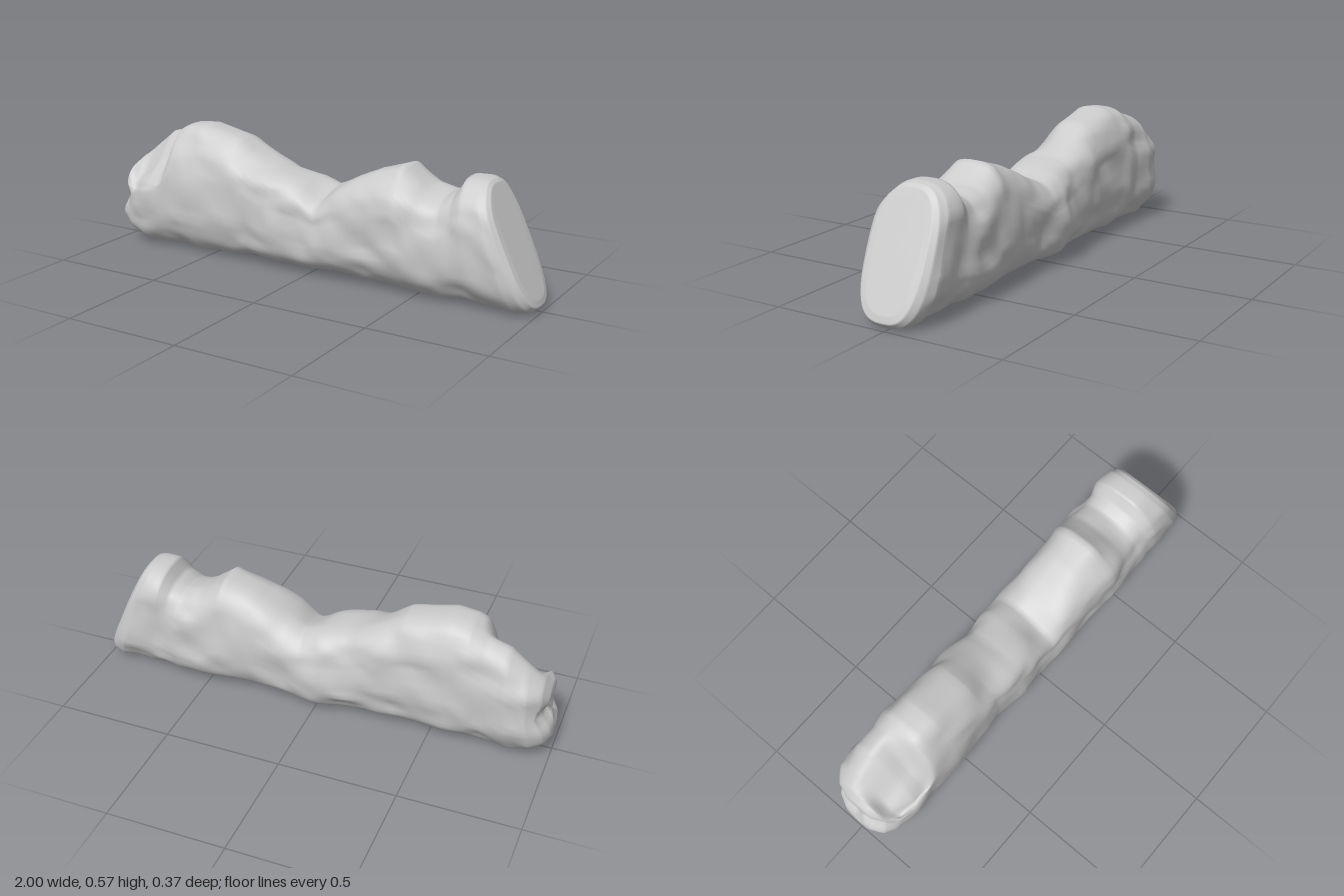
import * as THREE from 'three';

const SIDES = 56, STEPS = 138;

// Stations: x at foot, x at crest, bottom y, top y, front depth, back depth
const stations = [
  [-1.015, -0.955, 0.14, 0.27, 0.025, 0.03],
  [-1.01, -0.95, 0.09, 0.33, 0.06, 0.08],
  [-0.985, -0.93, 0.06, 0.38, 0.11, 0.13],
  [-0.93, -0.875, 0.03, 0.435, 0.145, 0.165],
  [-0.84, -0.80, 0.005, 0.50, 0.165, 0.175],
  [-0.72, -0.71, 0.015, 0.525, 0.157, 0.16],
  [-0.64, -0.64, 0.02, 0.56, 0.16, 0.165],
  [-0.55, -0.55, 0.01, 0.567, 0.162, 0.16],
  [-0.37, -0.37, 0.015, 0.53, 0.152, 0.15],
  [-0.29, -0.29, 0.02, 0.49, 0.142, 0.155],
  [-0.15, -0.15, 0.025, 0.415, 0.168, 0.163],
  [-0.03, -0.03, 0.02, 0.395, 0.152, 0.184],
  [0.06, 0.06, 0.025, 0.37, 0.158, 0.18],
  [0.15, 0.15, 0.025, 0.41, 0.162, 0.17],
  [0.29, 0.29, 0.02, 0.48, 0.16, 0.158],
  [0.42, 0.42, 0.02, 0.515, 0.175, 0.17],
  [0.53, 0.52, 0.01, 0.45, 0.17, 0.172],
  [0.63, 0.60, 0.01, 0.43, 0.162, 0.17],
  [0.71, 0.65, 0.02, 0.45, 0.162, 0.163],
  [0.78, 0.69, 0.01, 0.503, 0.168, 0.162],
  [0.93, 0.755, 0.003, 0.507, 0.17, 0.162],
  [0.985, 0.78, 0.01, 0.502, 0.157, 0.145],
  [1.015, 0.79, 0.03, 0.49, 0.137, 0.12],
  [1.022, 0.79, 0.06, 0.465, 0.11, 0.09],
];

const smooth = (a, b, v) => THREE.MathUtils.smoothstep(v, a, b);
const bump = (v, centre, width) => Math.exp(-(((v - centre) / width) ** 2));

// Seeded smooth value noise on a 3D lattice
function hash(i, j, k) {
  const s = Math.sin(i * 127.1 + j * 311.7 + k * 74.7) * 43758.5453;
  return (s - Math.floor(s)) * 2 - 1;
}
function noise(x, y, z) {
  const i = Math.floor(x), j = Math.floor(y), k = Math.floor(z);
  const f = [x - i, y - j, z - k].map((t) => t * t * (3 - 2 * t));
  let sum = 0;
  for (let c = 0; c < 8; c++) {
    const a = c & 1, b = (c >> 1) & 1, d = c >> 2;
    sum += hash(i + a, j + b, k + d) *
      (a ? f[0] : 1 - f[0]) * (b ? f[1] : 1 - f[1]) * (d ? f[2] : 1 - f[2]);
  }
  return sum;
}

// Cross-section values at t (0..1) along the wall
function stationAt(t) {
  const s = t * (stations.length - 1);
  const i = Math.min(Math.floor(s), stations.length - 2);
  return stations[i].map((v, c) => THREE.MathUtils.lerp(v, stations[i + 1][c], s - i));
}

// One point of the rock skin
function skinPoint(t, angle) {
  const [footX, crestX, bottom, top, front, back] = stationAt(t);
  const round = (v) => Math.sign(v) * Math.abs(v) ** 0.7;
  const c = round(Math.cos(angle)), s = round(Math.sin(angle));
  let y = (bottom + top) / 2 + (s * (top - bottom)) / 2;
  let x = THREE.MathUtils.lerp(footX, crestX, y / 0.5);
  let z = c * (c > 0 ? front : back);

  // Front leans back towards the crest
  if (c > 0) z *= 1 - 0.3 * smooth(0.38, 0.55, y);

  // Weathered strata: long flat lumps, fading out on the clean sloping end
  const rough = 1 - smooth(0.84, 0.92, t);
  const lump = 0.015 * noise(x * 7, y * 15, z * 4 + 9) + 0.006 * noise(x * 14, y * 24, z * 6);
  z += c * lump * rough;
  y += s * lump * 0.25 * rough;

  // Stepped-down front corner at one end, and smaller hollows along the crest
  const lean = smooth(-0.07, 0.08, z) * smooth(0, 0.7, s);
  const corner = smooth(-0.98, -0.88, x) * (1 - smooth(-0.74, -0.67, x));
  y -= lean * (0.12 * corner + 0.02 * bump(x, -0.26, 0.08) +
    0.035 * bump(x, 0.05, 0.07) + 0.02 * bump(x, 0.57, 0.06));
  // Crease across the bulging end
  x += 0.035 * bump(y, 0.225, 0.04) * (1 - smooth(0.06, 0.16, t));
  return [x, y, z];
}

// Closed loft through all cross-sections
function rockGeometry() {
  const positions = [], index = [];
  for (let i = 0; i <= STEPS; i++) {
    for (let j = 0; j < SIDES; j++) {
      positions.push(...skinPoint(i / STEPS, (j / SIDES) * Math.PI * 2));
    }
  }
  for (let i = 0; i < STEPS; i++) {
    for (let j = 0; j < SIDES; j++) {
      const k = (j + 1) % SIDES;
      const a = i * SIDES + j, b = a + SIDES, c = i * SIDES + k, d = c + SIDES;
      index.push(a, b, c, b, d, c);
    }
  }
  // End caps
  for (const ring of [0, STEPS]) {
    const start = ring * SIDES, centre = positions.length / 3;
    const mid = [0, 0, 0];
    for (let j = 0; j < SIDES; j++) {
      for (let n = 0; n < 3; n++) mid[n] += positions[(start + j) * 3 + n] / SIDES;
    }
    positions.push(...mid);
    for (let j = 0; j < SIDES; j++) {
      const a = start + j, b = start + ((j + 1) % SIDES);
      if (ring) index.push(centre, b, a);
      else index.push(centre, a, b);
    }
  }
  const geometry = new THREE.BufferGeometry();
  geometry.setAttribute('position', new THREE.Float32BufferAttribute(positions, 3));
  geometry.setIndex(index);

  // Stand on the ground, centred
  geometry.computeBoundingBox();
  const { min, max } = geometry.boundingBox;
  geometry.translate(-(min.x + max.x) / 2, -min.y, -(min.z + max.z) / 2);
  geometry.computeVertexNormals();
  return geometry;
}

export function createModel() {
  const group = new THREE.Group();
  group.name = 'rockWall';
  const rock = new THREE.Mesh(rockGeometry(), new THREE.MeshStandardMaterial({ color: 0xcccccc }));
  rock.name = 'rock';
  group.add(rock);
  return group;
}
